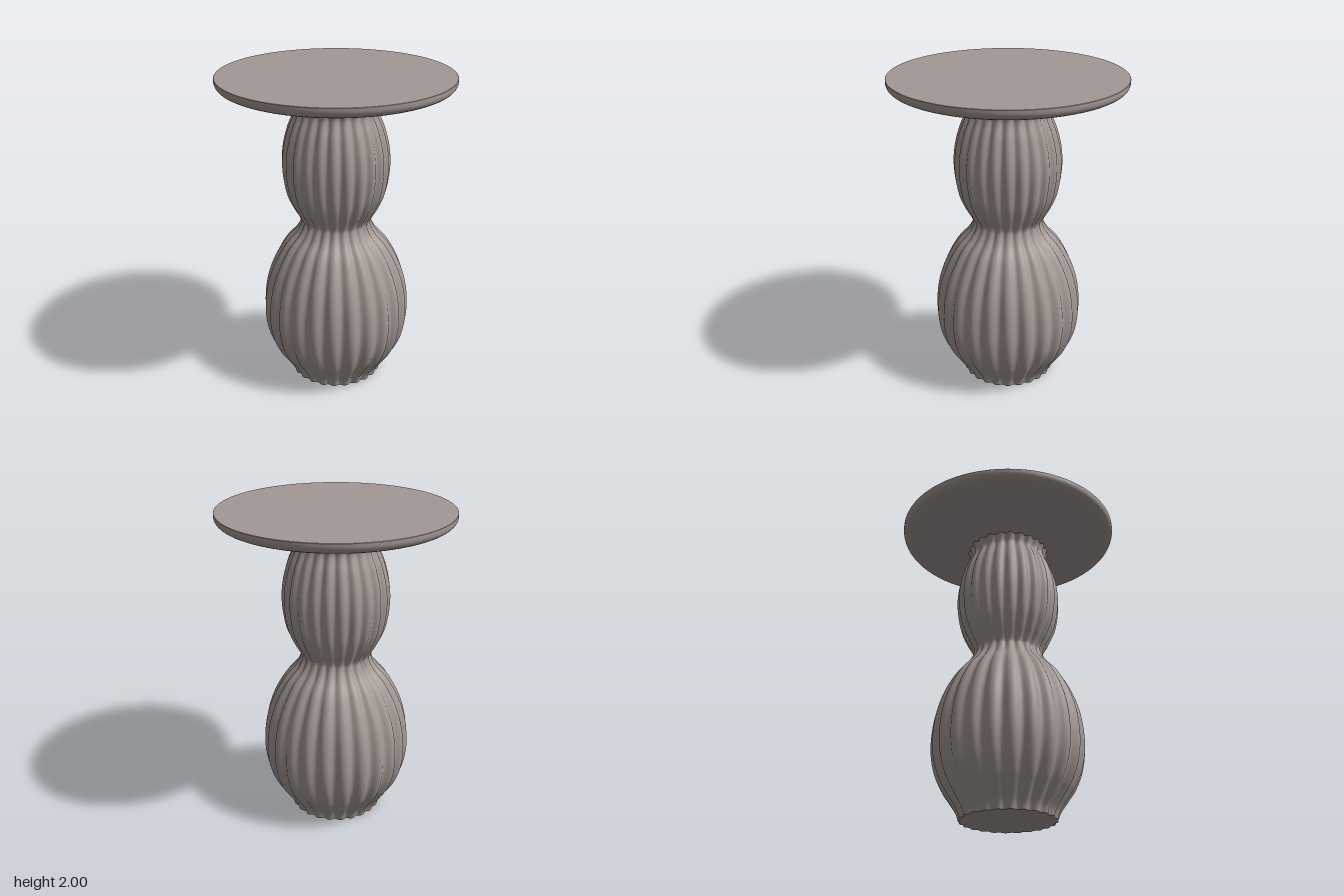
import * as THREE from 'three';
import { mergeVertices } from 'three/addons/utils/BufferGeometryUtils.js';

const RIBS = 24;
const STEPS = 10; // segments per rib

// smooth curve through [radius, height] pairs
const smoothProfile = (pairs, n) =>
  new THREE.SplineCurve(pairs.map(([r, y]) => new THREE.Vector2(r, y))).getPoints(n);

// lathe whose radius swells into rounded vertical ribs
function ribbedLathe(points, depth) {
  let geo = new THREE.LatheGeometry(points, RIBS * STEPS);
  const pos = geo.attributes.position;
  for (let i = 0; i < pos.count; i++) {
    const x = pos.getX(i), z = pos.getZ(i);
    const r = Math.hypot(x, z);
    const groove = 0.5 - 0.5 * Math.cos(RIBS * Math.atan2(z, x));
    const k = 1 - depth * groove ** 1.4;
    if (r > 0) pos.setXYZ(i, x * k, pos.getY(i), z * k);
  }
  geo.deleteAttribute('uv');
  geo.deleteAttribute('normal');
  geo = mergeVertices(geo, 1e-5);
  geo.computeVertexNormals();
  return geo;
}

export function createModel() {
  const group = new THREE.Group();
  const stone = new THREE.MeshStandardMaterial({ color: 0xa39894 });
  stone.name = 'warm grey stone';
  const add = (name, geo) => {
    const mesh = new THREE.Mesh(geo, stone);
    mesh.name = name;
    group.add(mesh);
  };

  // double-bulb pedestal
  const body = smoothProfile([
    [0.295, 0], [0.312, 0.05], [0.365, 0.13], [0.41, 0.2], [0.452, 0.31], [0.47, 0.45],
    [0.455, 0.62], [0.41, 0.77], [0.335, 0.91], [0.258, 1.0], [0.226, 1.06], [0.228, 1.1],
    [0.272, 1.18], [0.312, 1.28], [0.333, 1.43], [0.325, 1.56], [0.295, 1.68],
    [0.258, 1.77], [0.256, 1.81], [0.275, 1.86],
  ], 90);
  add('ribbedPedestal', ribbedLathe(body, 0.055));

  // flat closed foot following the ribbed outline
  add('pedestalFoot', ribbedLathe([new THREE.Vector2(0, 0), new THREE.Vector2(0.295, 0)], 0.055));

  // shallow dished underside with a rounded rim
  const underside = smoothProfile([
    [0.2, 1.835], [0.28, 1.848], [0.45, 1.885], [0.62, 1.922], [0.672, 1.935],
    [0.7, 1.951], [0.712, 1.972], [0.713, 1.998],
  ], 40);
  add('tabletopUnderside', new THREE.LatheGeometry(underside, 128));

  // flat top surface with a crisp edge
  const top = [[0.713, 1.998], [0.711, 2], [0, 2]].map(([r, y]) => new THREE.Vector2(r, y));
  const topGeo = new THREE.LatheGeometry(top, 128).toNonIndexed();
  topGeo.computeVertexNormals();
  add('tabletopSurface', topGeo);

  return group;
}
